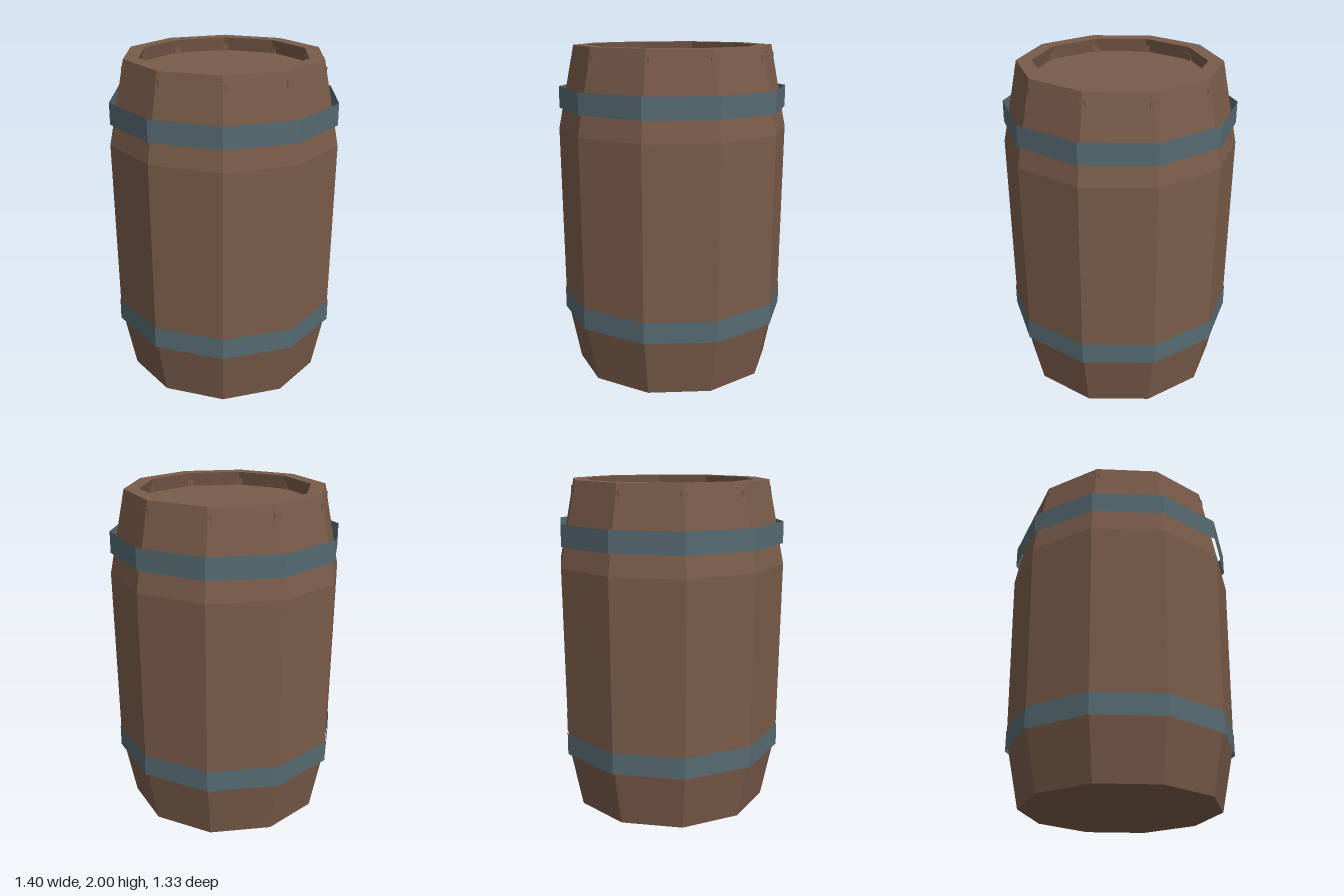
import * as THREE from 'three';

const SIDES = 10;
const START = Math.PI / SIDES; // puts corners on the x axis and a flat stave at the front

function material(color, side = THREE.FrontSide) {
  return new THREE.MeshStandardMaterial({ color, flatShading: true, side });
}

// Revolve a [radius, height] profile into a ten-sided solid
function ring(name, profile, mat) {
  const points = profile.map(([r, y]) => new THREE.Vector2(r, y));
  const mesh = new THREE.Mesh(new THREE.LatheGeometry(points, SIDES, START), mat);
  mesh.name = name;
  return mesh;
}

export function createModel() {
  const barrel = new THREE.Group();
  barrel.name = 'barrel';
  const wood = material(0x7a5c4a);
  const iron = material(0x566a72, THREE.DoubleSide);

  // Staves, bottom, rim and the sunken lid, whose wall is undercut beneath the rim
  barrel.add(ring('barrelBody', [
    [0, 0], [0.6, 0], [0.685, 0.42], [0.698, 1.5], [0.6, 2],
    [0.51, 2], [0.53, 1.915], [0, 1.915],
  ], wood));

  // Thin open hoops
  barrel.add(ring('lowerHoop', [[0.69, 0.345], [0.69, 0.475]], iron));
  barrel.add(ring('upperHoop', [[0.693, 1.625], [0.693, 1.755]], iron));

  // Pegs through the stave joints, just under the rim
  const pegs = new THREE.Group();
  pegs.name = 'pegs';
  const pegShape = new THREE.BoxGeometry(0.044, 0.05, 0.098);
  pegShape.translate(0, 1.93, 0.561);
  for (let i = 0; i < SIDES; i++) {
    const peg = new THREE.Mesh(pegShape, wood);
    peg.name = 'peg';
    peg.rotation.y = START + (i * 2 * Math.PI) / SIDES;
    pegs.add(peg);
  }
  barrel.add(pegs);

  return barrel;
}
